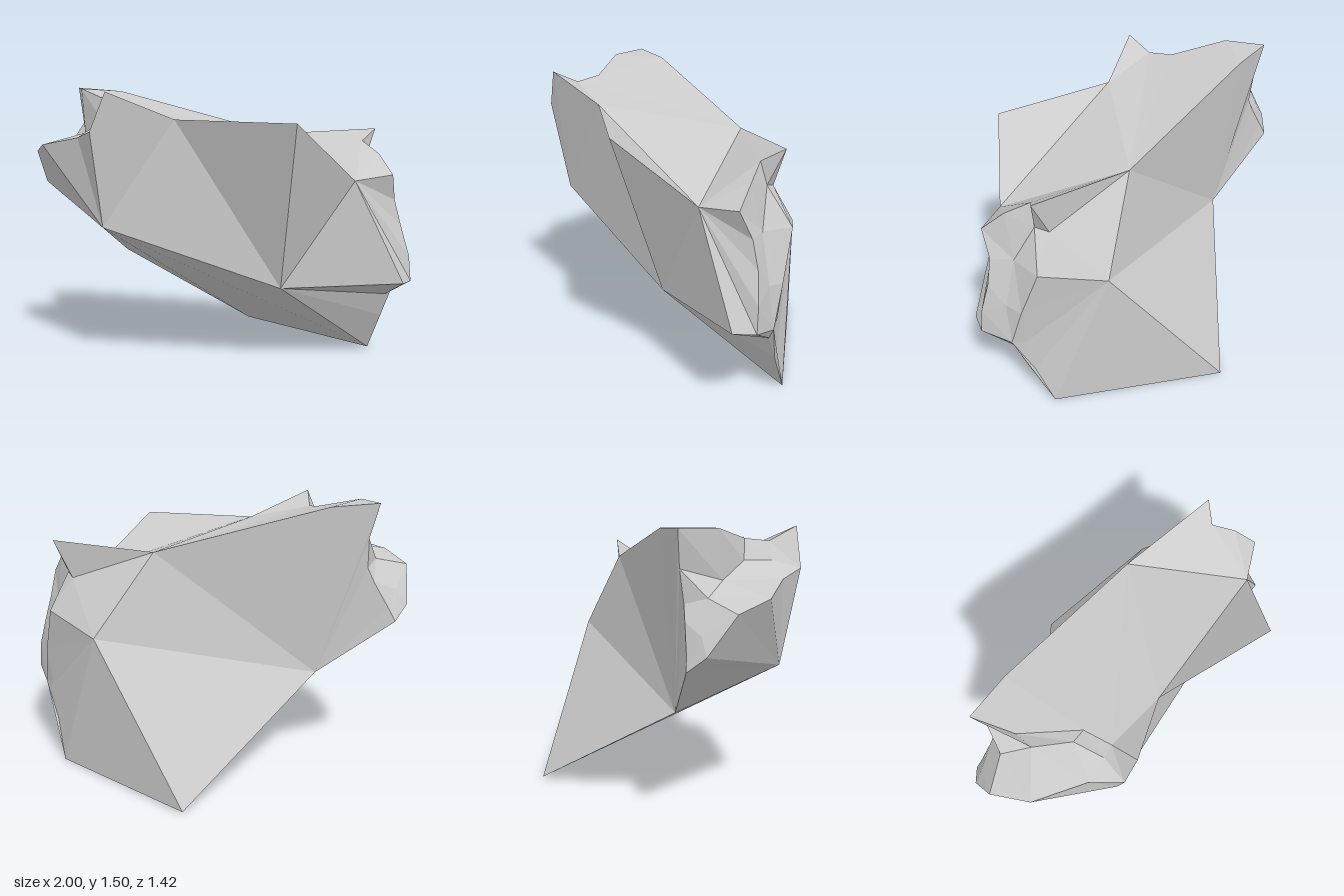
import * as THREE from 'three';

// Faceted shard: a leaning prism with a hollow broken end and a jagged broken end.

// triangles around one corner, counter-clockwise from outside
function fan(center, ring) {
  const tris = [];
  for (let i = 0; i + 1 < ring.length; i++) tris.push([center, ring[i], ring[i + 1]]);
  return tris;
}

// zips two chains that run the same way, always taking the shorter diagonal
function strip(a, b) {
  const dist = (p, q) => Math.hypot(p[0] - q[0], p[1] - q[1], p[2] - q[2]);
  const tris = [];
  let i = 0, j = 0;
  while (i < a.length - 1 || j < b.length - 1) {
    const stepA = j === b.length - 1 ||
      (i < a.length - 1 && dist(a[i + 1], b[j]) <= dist(a[i], b[j + 1]));
    const tri = stepA ? [a[i], a[i + 1], b[j]] : [a[i], b[j + 1], b[j]];
    if (stepA) i++; else j++;
    if (new Set(tri).size === 3) tris.push(tri);
  }
  return tris;
}

function facets(name, tris, material) {
  const geometry = new THREE.BufferGeometry();
  geometry.setAttribute('position', new THREE.Float32BufferAttribute(tris.flat(2), 3));
  geometry.computeVertexNormals();
  const mesh = new THREE.Mesh(geometry, material);
  mesh.name = name;
  return mesh;
}

export function createModel() {
  const material = new THREE.MeshStandardMaterial({
    color: 0xcccccc, flatShading: true, side: THREE.DoubleSide,
  });

  // main corners of the prism
  const frontLow = [-0.34, 0.77, 0.62], frontMid = [0.43, 0.435, 0.09];
  const ridge = [-0.02, 1.33, 0.42], shoulder = [0.64, 1.315, 0.34];
  const sideTop = [0.775, 1.015, -0.07], sideLow = [1, 0.47, -0.215];
  const foot = [0.69, 0, -0.52], heel = [-0.22, 0.01, -0.71];
  const belly = [-0.575, 0.56, 0.12];
  const backMid = [0.39, 0.8, -0.59], backTop = [0.17, 1.24, -0.335];
  const crest = [-0.65, 1.485, 0.06];

  // rim of the hollow end: lower lip, back wall, overhang
  const peak = [-0.26, 1.47, 0.68], lipEnd = [-0.34, 1.27, 0.71], lipStart = [-0.97, 0.88, 0.235];
  const lip = [[-1, 0.96, 0.33], [-0.945, 1.145, 0.46], [-0.78, 1.19, 0.59], [-0.49, 1.235, 0.63]];
  const wall = [[-0.93, 0.95, 0.23], [-0.85, 1.085, 0.21], [-0.815, 1.16, 0.2], [-0.82, 1.32, 0.18]];
  const tip = [-0.87, 1.505, 0.18], over1 = [-0.71, 1.495, 0.34];
  const over2 = [-0.42, 1.42, 0.435], over3 = [-0.33, 1.4, 0.55];
  const hollow = [[-0.94, 1.04, 0.3], [-0.82, 1.19, 0.31], [-0.67, 1.25, 0.36],
    [-0.48, 1.32, 0.44], [-0.38, 1.31, 0.57]];

  // rim of the jagged end, top to bottom
  const spike = [0.72, 1.275, -0.48];
  const notch = [[0.69, 1.21, -0.365], [0.81, 1.145, -0.31]];
  const edge = [[0.915, 1.04, -0.245], [0.905, 0.9, -0.31], [0.935, 0.76, -0.335],
    [0.985, 0.6, -0.335], [1, 0.465, -0.33]];
  const low = [[0.83, 0.355, -0.415], [0.79, 0.22, -0.455]];
  const core = [[0.69, 1.09, -0.4], [0.8, 0.9, -0.37], [0.87, 0.65, -0.4], [0.87, 0.42, -0.43]];
  const backEdge = [[0.63, 1.07, -0.44], [0.73, 0.89, -0.525], [0.815, 0.64, -0.475],
    [0.8, 0.42, -0.455], [0.77, 0.22, -0.465]];

  const body = [
    // front and underside
    ...fan(frontLow, [foot, frontMid, ridge, peak, lipEnd, ...[...lip].reverse(), lipStart, belly, heel, foot]),
    ...fan(frontMid, [foot, low[1], low[0], sideLow, sideTop, shoulder, ridge]),
    [sideLow, low[0], edge[4]],
    // corner beside the jagged end
    ...fan(sideTop, [sideLow, ...[...edge].reverse(), notch[1], notch[0], backTop, ridge, shoulder]),
    // top
    ...fan(backTop, [crest, over2, over3, ridge]),
    [ridge, over3, peak],
    ...fan(crest, [tip, over1, over2]),
    [backTop, notch[0], spike], [backTop, spike, backEdge[0]],
    // back
    ...fan(belly, [lipStart, ...wall, tip, crest, backTop, backMid, heel]),
    ...fan(backMid, [backTop, ...backEdge, foot, heel]),
  ];

  const floor = [lipStart, ...hollow, lipEnd];
  const hollowEnd = [
    ...strip([lipStart, ...lip, lipEnd], floor),
    ...strip(floor, [lipStart, ...wall, tip, over1, over2, over3, peak, lipEnd]),
  ];

  const spine = [spike, ...core, foot];
  const jaggedEnd = [
    ...strip([spike, ...notch, ...edge, ...low, foot], spine),
    ...strip(spine, [spike, ...backEdge, foot]),
  ];

  const model = new THREE.Group();
  model.name = 'shard';
  model.add(
    facets('body', body, material),
    facets('hollowEnd', hollowEnd, material),
    facets('jaggedEnd', jaggedEnd, material),
  );
  return model;
}
